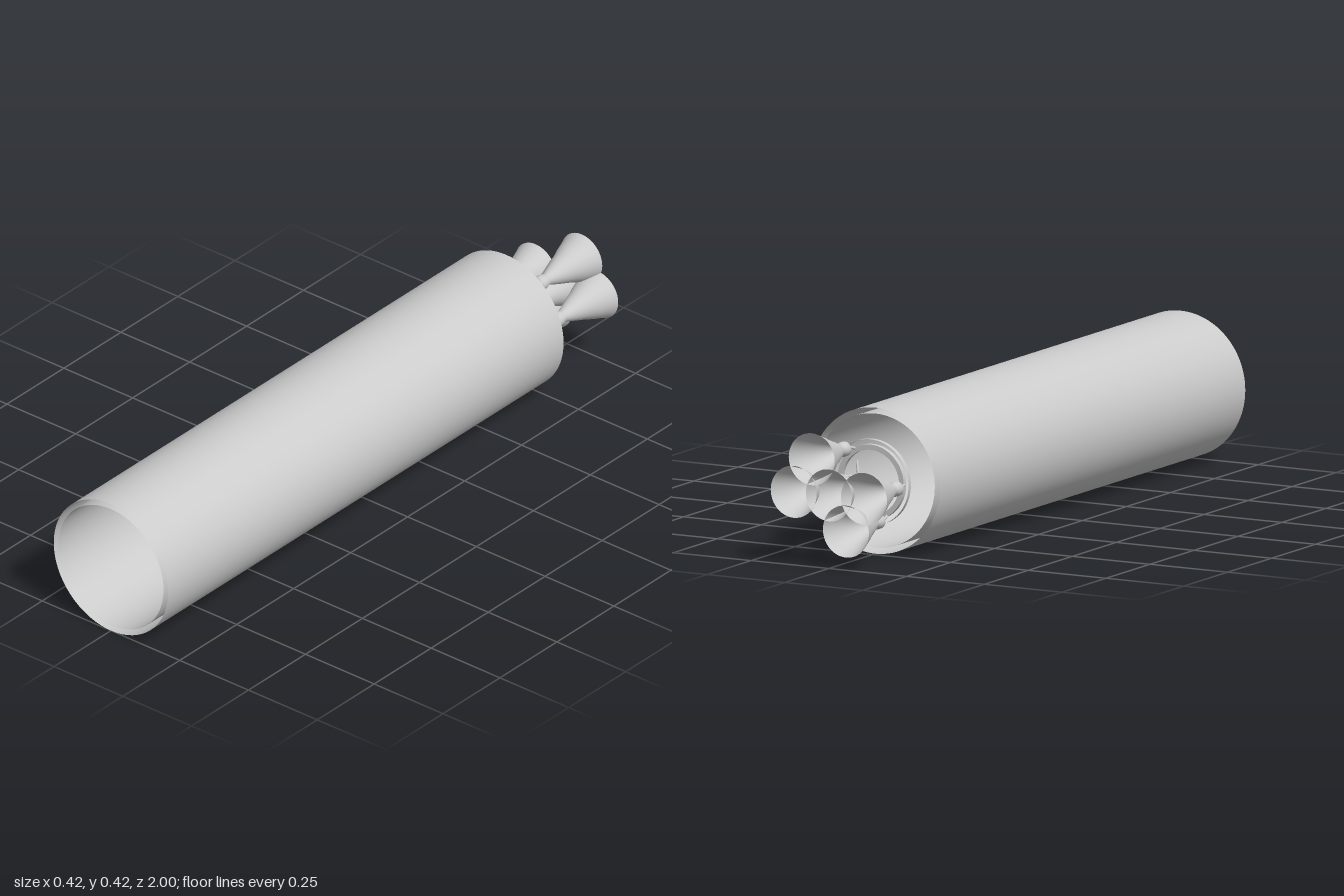
import * as THREE from 'three';

const CY = 0.208; // height of the long axis
const mat = new THREE.MeshStandardMaterial({ color: 0xcccccc, side: THREE.DoubleSide });

export function createModel() {
  const root = new THREE.Group();
  const add = (name, geo, x = 0, y = CY, z = 0) => {
    const m = new THREE.Mesh(geo, mat);
    m.name = name;
    m.position.set(x, y, z);
    root.add(m);
    return m;
  };

  // open-ended shell lying along z
  const shell = (name, r, z0, z1) => {
    const geo = new THREE.CylinderGeometry(r, r, z1 - z0, 96, 1, true).rotateX(Math.PI / 2);
    add(name, geo, 0, CY, (z0 + z1) / 2);
  };

  // straight round pipe between two points, relative to the axis
  const pipe = (name, a, b, r = 0.004) => {
    const p = new THREE.Vector3(...a), q = new THREE.Vector3(...b);
    add(name, new THREE.TubeGeometry(new THREE.LineCurve3(p, q), 1, r, 12));
  };

  // body: outer skin and inner wall
  shell('outerSkin', 0.208, -0.735, 1);
  shell('innerWall', 0.191, -0.735, 1);

  // feed ring with a thin band around it
  shell('ringBand', 0.122, -0.763, -0.749);
  const ringProfile = [[0.092, -0.007], [0.107, -0.007], [0.107, 0.007], [0.092, 0.007], [0.092, -0.007]];
  const ring = new THREE.Shape();
  ring.absarc(0, 0, 0.107, 0, Math.PI * 2);
  const hole = new THREE.Path();
  hole.absarc(0, 0, 0.092, 0, Math.PI * 2, true);
  ring.holes.push(hole);
  const depth = ringProfile[2][1] - ringProfile[1][1];
  add('feedRing', new THREE.ExtrudeGeometry(ring, { depth, bevelEnabled: false, curveSegments: 64 }),
    0, CY, -0.763);

  // engine bells, each with a small chamber collar; profile is radius, z
  const profile = [
    [0.017, -0.808], [0.021, -0.812], [0.0215, -0.825], [0.0175, -0.84], [0.018, -0.847],
    [0.025, -0.865], [0.034, -0.89], [0.044, -0.92], [0.056, -0.95], [0.066, -0.98], [0.074, -1],
  ].map(([r, z]) => new THREE.Vector2(r, -z));
  const bell = new THREE.LatheGeometry(profile, 48).rotateX(-Math.PI / 2);
  const spots = [[0, 0], [0.113, 0], [-0.113, 0], [0.055, 0.098], [-0.055, -0.098]];
  for (const [x, y] of spots) {
    add('engineBell', bell, x, CY + y, 0);
    // slanted feed from the ring to each outer bell
    if (x !== 0) pipe('bellFeed', [x * 0.93, y * 0.93, -0.758], [x * 1.06, y * 1.06, -0.808]);
  }

  // centre feed and the supply line running into the body
  const line = [
    [0, 0, -0.808], [0, 0, -0.764], [0.12, 0, -0.764], [0.12, 0, -0.735],
    [0.08, 0, -0.69], [0.192, 0, -0.5],
  ];
  for (let i = 0; i + 1 < line.length; i++) {
    pipe('supplyLine', line[i], line[i + 1]);
    if (i > 0) add('supplyElbow', new THREE.SphereGeometry(0.004, 12, 8),
      line[i][0], CY + line[i][1], line[i][2]);
  }

  return root;
}
